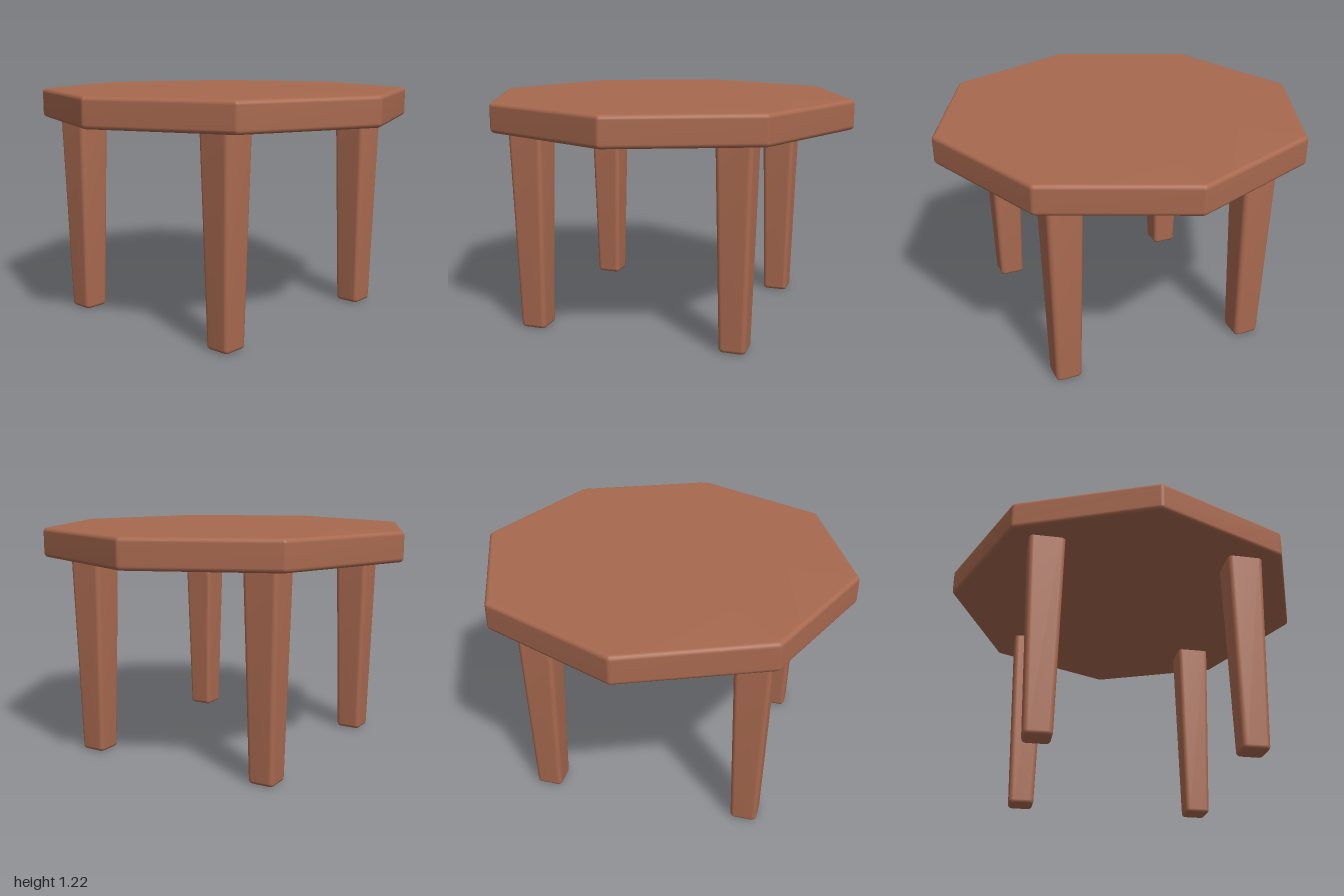
import * as THREE from 'three';

const ARC = 4; // steps in each rounded edge

// Regular polygon with rounded corners: half = centre-to-flat distance, r = corner radius
function ring(n, phase, half, r, y) {
  const c = Math.cos(Math.PI / n), pts = [];
  for (let i = 0; i < n; i++) {
    const a = phase + (i * 2 * Math.PI) / n;
    const d = (half - r) / c;
    for (let k = 0; k <= ARC; k++) {
      const b = a + (k / ARC - 0.5) * (2 * Math.PI / n);
      pts.push([d * Math.cos(a) + r * Math.cos(b), y, d * Math.sin(a) + r * Math.sin(b)]);
    }
  }
  return pts;
}

// Tapered polygonal block with softened vertical, bottom and (optionally) top edges
function softBlock({ n, phase, y0, y1, half0, half1, bevel, roundTop }) {
  const r = bevel * 1.2, rings = [];
  const add = (half, inset, y) => rings.push(ring(n, phase, half - inset, r - inset, y));
  for (let k = 0; k <= ARC; k++) {
    const t = (k / ARC) * Math.PI / 2;
    add(half0, bevel * (1 - Math.sin(t)), y0 + bevel * (1 - Math.cos(t)));
  }
  if (roundTop) {
    for (let k = 0; k <= ARC; k++) {
      const t = (k / ARC) * Math.PI / 2;
      add(half1, bevel * (1 - Math.cos(t)), y1 - bevel * (1 - Math.sin(t)));
    }
  } else add(half1, 0, y1);

  const m = rings[0].length, pos = rings.flat(2), idx = [];
  for (let s = 0; s < rings.length - 1; s++) {
    for (let i = 0; i < m; i++) {
      const a = s * m + i, b = s * m + (i + 1) % m;
      idx.push(a, a + m, b, b, a + m, b + m);
    }
  }
  // End caps
  const bottom = pos.length / 3, top = bottom + 1, last = (rings.length - 1) * m;
  pos.push(0, y0, 0, 0, y1, 0);
  for (let i = 0; i < m; i++) {
    const j = (i + 1) % m;
    idx.push(bottom, i, j, top, last + j, last + i);
  }
  const g = new THREE.BufferGeometry();
  g.setAttribute('position', new THREE.Float32BufferAttribute(pos, 3));
  g.setIndex(idx);
  g.computeVertexNormals();
  return g;
}

export function createModel() {
  const group = new THREE.Group();
  group.name = 'octagonalTable';
  const wood = new THREE.MeshStandardMaterial({ color: 0xa8694f });
  wood.name = 'warm wood';

  // Octagonal top with a corner pointing along each axis
  const top = new THREE.Mesh(softBlock({
    n: 8, phase: 0, y0: 1.065, y1: 1.22,
    half0: Math.cos(Math.PI / 8) * 1.002, half1: Math.cos(Math.PI / 8) * 1.002,
    bevel: 0.022, roundTop: true,
  }), wood);
  top.name = 'tableTop';
  group.add(top);

  // Four square legs, narrowing to the floor
  const legGeometry = softBlock({
    n: 4, phase: Math.PI / 4, y0: 0, y1: 1.07,
    half0: 0.07, half1: 0.093, bevel: 0.02, roundTop: false,
  });
  for (const [zName, z] of [['front', 0.575], ['back', -0.522]]) {
    for (const [xName, x] of [['Left', 0.522], ['Right', -0.523]]) {
      const leg = new THREE.Mesh(legGeometry, wood);
      leg.name = `${zName}${xName}Leg`;
      leg.position.set(x, 0, z);
      group.add(leg);
    }
  }
  return group;
}
